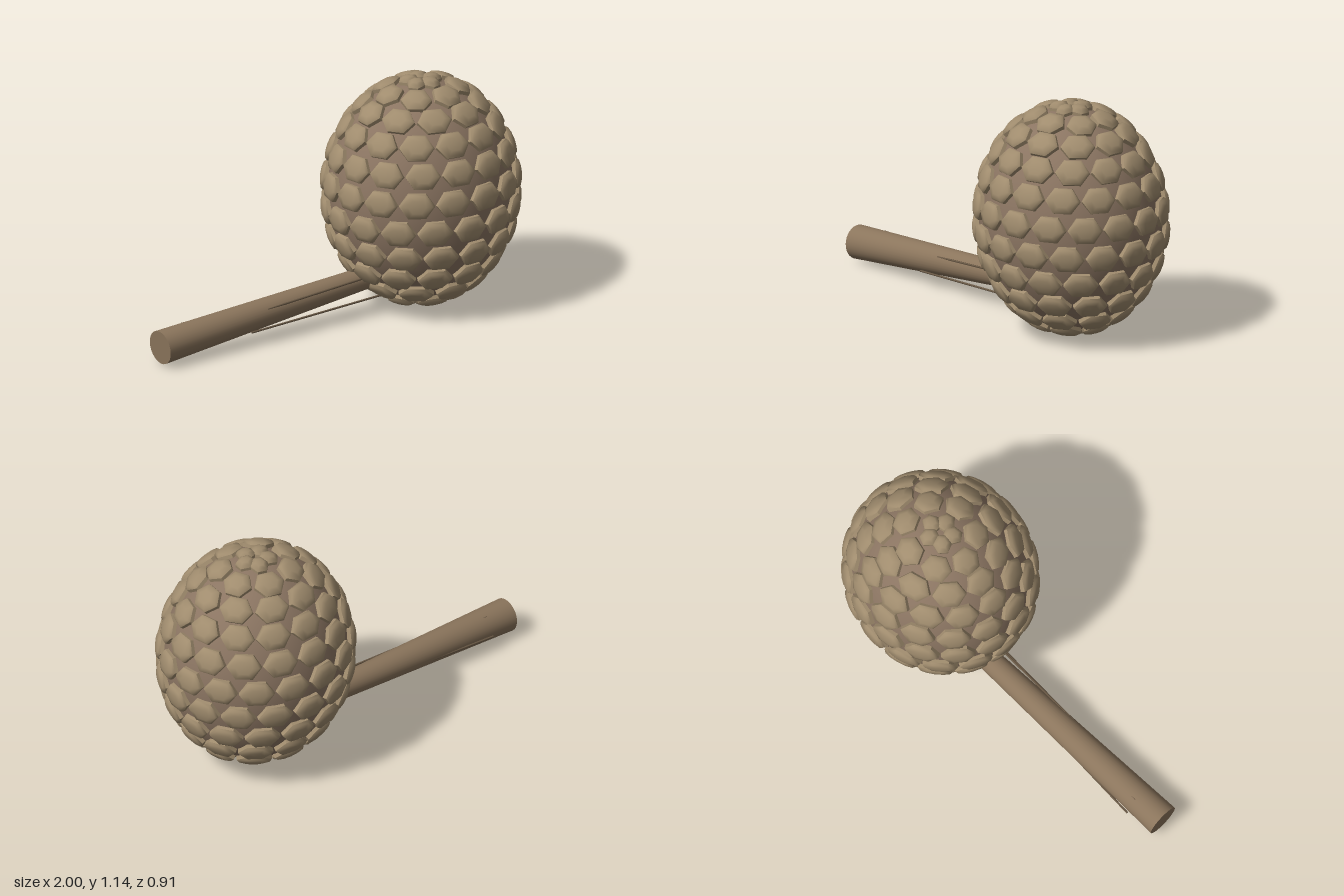
import * as THREE from 'three';
import { toCreasedNormals } from 'three/addons/utils/BufferGeometryUtils.js';

const CENTER = new THREE.Vector3(0.51, 0.572, 0);
const RADII = new THREE.Vector3(0.457, 0.54, 0.423);

const scaleMat = new THREE.MeshStandardMaterial({ color: 0xa08c6e });
const coreMat = new THREE.MeshStandardMaterial({ color: 0x8b7562 });
const stemMat = new THREE.MeshStandardMaterial({ color: 0x8b755c });
const fibreMat = new THREE.MeshStandardMaterial({ color: 0x6b5a46 });

// Point on the egg-shaped core at a latitude and azimuth
function onCore(lat, az) {
  return new THREE.Vector3(Math.cos(lat) * Math.cos(az), Math.sin(lat), Math.cos(lat) * Math.sin(az))
    .multiply(RADII);
}

// Tapered rod between two points
function rod(name, from, to, r0, r1, sides, material) {
  const a = new THREE.Vector3(...from), b = new THREE.Vector3(...to);
  const dir = b.clone().sub(a);
  const mesh = new THREE.Mesh(new THREE.CylinderGeometry(r1, r0, dir.length(), sides), material);
  mesh.position.copy(a).add(b).multiplyScalar(0.5);
  mesh.quaternion.setFromUnitVectors(new THREE.Vector3(0, 1, 0), dir.normalize());
  mesh.name = name;
  return mesh;
}

// Unit-width hexagonal plate with a bevelled rim and a low dome
function hexPlate() {
  const profile = [[1, -0.025], [1, 0.012], [0.86, 0.025], [0.5, 0.032], [0, 0.035]]
    .map(([x, y]) => new THREE.Vector2(x, y));
  return toCreasedNormals(new THREE.LatheGeometry(profile, 6), 0.5);
}

export function createModel() {
  const model = new THREE.Group();
  model.name = 'scaledFruit';

  // Smooth core
  const core = new THREE.Mesh(new THREE.SphereGeometry(1, 48, 32), coreMat);
  core.scale.copy(RADII);
  core.position.copy(CENTER);
  core.name = 'core';
  model.add(core);

  // Staggered rows of hexagonal scales, from the bottom to the top
  const scales = new THREE.Group();
  scales.name = 'scales';
  scales.position.copy(CENTER);
  const plate = hexPlate();
  const counts = [5, 7, 10, 13, 15, 16, 16, 15, 13, 10, 7, 5];
  counts.forEach((count, row) => {
    const lat = THREE.MathUtils.degToRad(-82.5 + row * 15);
    const step = (Math.PI * 2) / count;
    const tip = row === 0 || row === counts.length - 1;
    for (let i = 0; i < count; i++) {
      const az = (i + (row % 2 ? 0 : 0.5)) * step;
      const p = onCore(lat, az);
      const normal = p.clone().divide(RADII).divide(RADII).normalize();
      const side = new THREE.Vector3(-RADII.x * Math.sin(az), 0, RADII.z * Math.cos(az));
      const spacing = side.length() * Math.cos(lat) * step;
      side.normalize();
      const up = normal.clone().cross(side);
      const mesh = new THREE.Mesh(plate, scaleMat);
      mesh.quaternion.setFromRotationMatrix(new THREE.Matrix4().makeBasis(up, normal, side));
      mesh.position.copy(p);
      mesh.scale.set(tip ? 0.05 : 0.07, 1, tip ? 0.045 : Math.min(0.49 * spacing, 0.086));
      mesh.name = 'scale';
      scales.add(mesh);
    }
  });
  model.add(scales);

  // Tapered stem running into the lower side of the core
  model.add(rod('stem', [-0.995, 0.092, 0.043], [0.4, 0.18, -0.045], 0.082, 0.05, 32, stemMat));

  // Thin fibres lying along the stem
  const fibres = new THREE.Group();
  fibres.name = 'fibres';
  [
    [[-0.85, 0.085, -0.053], [-0.35, 0.11, -0.05]],
    [[-0.85, 0.168, 0], [-0.55, 0.175, 0]],
    [[-0.45, 0.162, 0.06], [0.25, 0.205, 0.035]],
    [[-0.5, 0.075, 0.078], [0.32, 0.112, 0.068]],
  ].forEach(([a, b]) => fibres.add(rod('fibre', a, b, 0.005, 0.005, 6, fibreMat)));
  model.add(fibres);

  return model;
}
